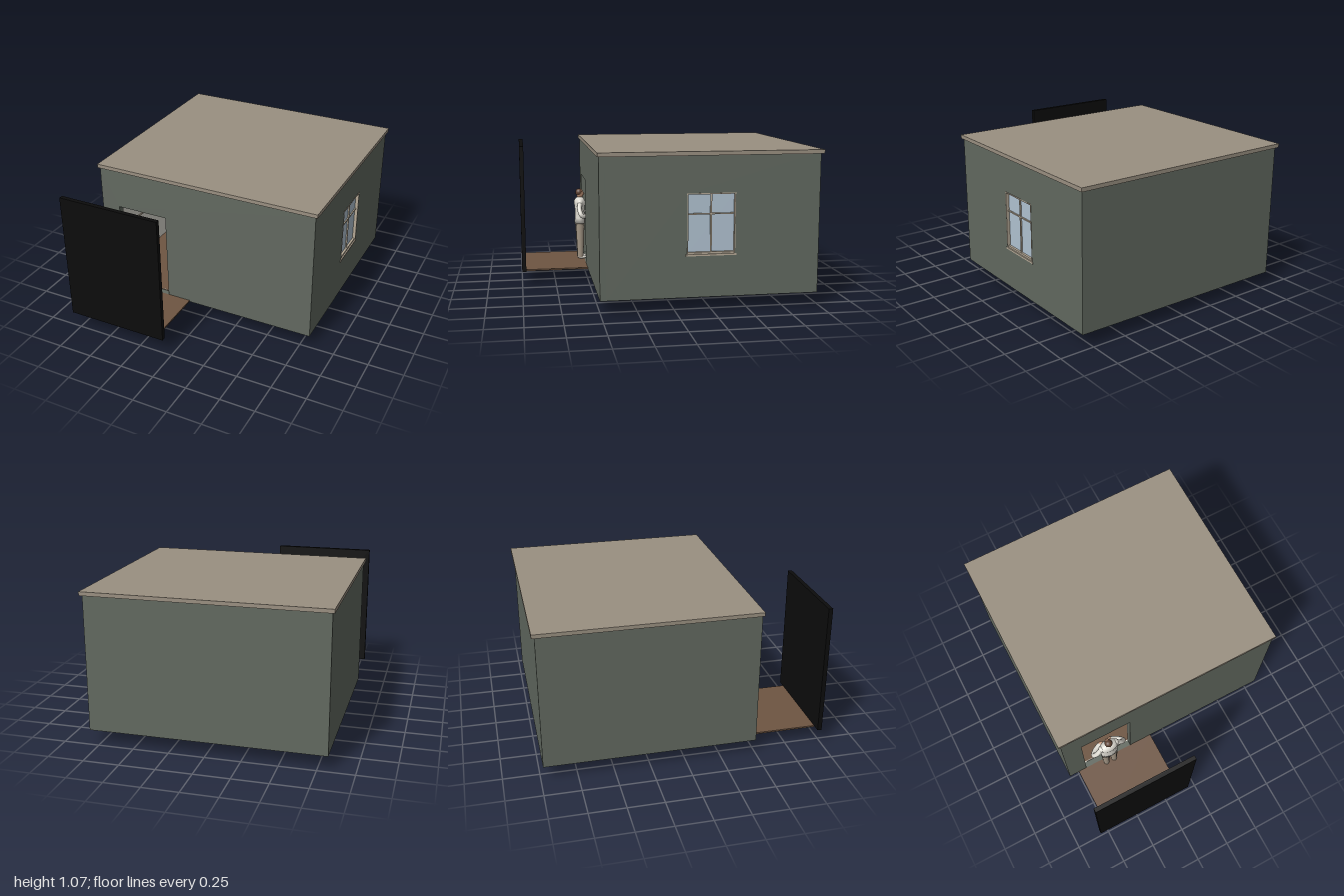
import * as THREE from 'three';

const mat = (name, color, side = THREE.FrontSide) => {
  const m = new THREE.MeshStandardMaterial({ color, side });
  m.name = name;
  return m;
};

export function createModel() {
  const green = mat('wallGreen', 0x626960);
  const stone = mat('roofTaupe', 0x9a9081);
  const black = mat('black', 0x0c0c0c);
  const wood = mat('wood', 0x6e5542);
  const glass = mat('glassBlue', 0xb1c3d2);
  const white = mat('offWhite', 0xdedbd2);
  const trim = mat('windowTrim', 0xb5a996);
  const cloth = mat('trouserTaupe', 0xa39685);
  const hairMat = mat('hairBrown', 0x5d4030);
  const skin = mat('skin', 0xc79a7d);

  const model = new THREE.Group();
  const add = (name, geo, m, parent = model) => {
    const mesh = new THREE.Mesh(geo, m);
    mesh.name = name;
    parent.add(mesh);
    return mesh;
  };
  // Box given by its extents on each axis
  const box = (name, m, x0, x1, y0, y1, z0, z1, parent = model) => {
    const mesh = add(name, new THREE.BoxGeometry(x1 - x0, y1 - y0, z1 - z0), m, parent);
    mesh.position.set((x0 + x1) / 2, (y0 + y1) / 2, (z0 + z1) / 2);
    return mesh;
  };
  // Upright slab with a rectangular opening
  const rect = (T, x0, x1, y0, y1) => {
    const s = new T();
    s.moveTo(x0, y0).lineTo(x1, y0).lineTo(x1, y1).lineTo(x0, y1).closePath();
    return s;
  };
  const slab = (outer, opening, depth) => {
    const s = rect(THREE.Shape, ...outer);
    s.holes.push(rect(THREE.Path, ...opening));
    return new THREE.ExtrudeGeometry(s, { depth, bevelEnabled: false });
  };

  // Walls, with a doorway in front and a window on the left side
  const Y0 = 0.097, Y1 = 1.045, T = 0.04;
  const door = [-0.68, -0.3, 0.108, 0.76];
  const win = [0.075, 0.4, 0.385, 0.795];
  add('frontWall', slab([-0.82, 0.82, Y0, Y1], door, T), green).position.z = 0.465;
  const sideWall = add('windowWall', slab([-0.465, 0.94, Y0, Y1], win, T), green);
  sideWall.rotation.y = Math.PI / 2;
  sideWall.position.x = 0.78;
  box('plainSideWall', green, -0.82, -0.78, Y0, Y1, -0.94, 0.465);
  box('backWall', green, -0.82, 0.82, Y0, Y1, -0.98, -0.94);

  // Pale inner lining and ceiling
  add('frontLining', slab([-0.78, 0.78, 0.11, Y1], [door[0], door[1], 0.112, door[3]], 0.006), white).position.z = 0.459;
  const sideLining = add('windowLining', slab([-0.459, 0.934, 0.11, Y1], win, 0.006), white);
  sideLining.rotation.y = Math.PI / 2;
  sideLining.position.x = 0.774;
  box('sideLining', white, -0.78, -0.774, 0.11, Y1, -0.94, 0.459);
  box('backLining', white, -0.774, 0.774, 0.11, Y1, -0.94, -0.934);
  box('ceiling', white, -0.774, 0.774, 1.035, Y1, -0.934, 0.459);
  box('skirtingRail', trim, -0.774, -0.768, 0.46, 0.475, -0.934, 0.459);

  // Flat roof with a small overhang
  box('roof', stone, -0.835, 0.835, Y1, 1.072, -1, 0.515);

  // Floor boards, their underside showing below the house
  const boards = 24, pitch = 1.405 / boards;
  box('subfloor', wood, -0.78, 0.78, 0.106, 0.112, -0.94, 0.465);
  for (let i = 0; i < boards; i++) {
    const z = -0.94 + i * pitch;
    box('floorBoard', wood, -0.78, 0.78, 0.1, 0.107, z, z + pitch - 0.008);
  }

  // Porch deck and the black screen in front of it
  box('porchDeck', wood, -0.745, -0.125, 0.097, 0.108, 0.505, 0.97);
  box('screenPanel', black, -0.81, -0.065, 0.106, 1.042, 0.97, 1);

  // Box under the floor, held by wooden posts on both sides
  box('underfloorBox', black, -0.405, 0.03, 0, 0.102, -0.345, -0.13);
  for (const x of [-0.345, -0.19, -0.035])
    for (const z of [-0.122, -0.353])
      box('boxPost', wood, x - 0.009, x + 0.009, 0.042, 0.105, z - 0.009, z + 0.009);

  // Window: recessed panes, frame, glazing bars and sill
  const windowGroup = new THREE.Group();
  windowGroup.name = 'window';
  model.add(windowGroup);
  const w = (name, m, x0, x1, y0, y1, z0, z1) => box(name, m, x0, x1, y0, y1, z0, z1, windowGroup);
  w('windowPane', glass, 0.793, 0.799, 0.385, 0.795, -0.4, -0.075);
  for (const z of [-0.4, -0.081]) w('frameSide', trim, 0.785, 0.822, 0.385, 0.795, z, z + 0.006);
  w('frameTop', trim, 0.785, 0.822, 0.789, 0.797, -0.405, -0.07);
  w('frameBottom', trim, 0.785, 0.815, 0.39, 0.403, -0.4, -0.075);
  w('windowSill', trim, 0.785, 0.824, 0.378, 0.39, -0.41, -0.065);
  w('verticalBar', trim, 0.788, 0.808, 0.39, 0.79, -0.243, -0.232);
  w('crossBar', trim, 0.788, 0.808, 0.653, 0.662, -0.4, -0.075);

  // Standing figure in the doorway, facing into the house
  const figure = new THREE.Group();
  figure.name = 'figure';
  figure.position.set(-0.49, 0.108, 0.535);
  model.add(figure);
  const ball = (name, m, rx, ry, rz, x, y, z) => {
    const b = add(name, new THREE.SphereGeometry(1, 20, 14), m, figure);
    b.scale.set(rx, ry, rz);
    b.position.set(x, y, z);
    return b;
  };
  const turned = (name, m, pts, depth) => {
    const g = new THREE.LatheGeometry(pts.map(p => new THREE.Vector2(...p)), 24);
    const mesh = add(name, g, m, figure);
    mesh.scale.z = depth;
    return mesh;
  };
  turned('jacket', white, [[0, 0.285], [0.068, 0.287], [0.066, 0.33], [0.06, 0.38],
    [0.072, 0.44], [0.07, 0.465], [0.05, 0.485], [0.02, 0.495], [0, 0.496]], 0.6);
  turned('hips', cloth, [[0, 0.245], [0.045, 0.25], [0.062, 0.28], [0.06, 0.31], [0, 0.31]], 0.62);
  turned('neck', skin, [[0.018, 0.475], [0.017, 0.515]], 1);
  ball('head', skin, 0.025, 0.037, 0.028, 0, 0.52, -0.004);
  ball('nose', skin, 0.005, 0.007, 0.008, 0, 0.517, -0.031);
  ball('hair', hairMat, 0.029, 0.03, 0.029, 0, 0.53, 0.003);
  for (const s of [-1, 1]) {
    const leg = add('trouserLeg', new THREE.CylinderGeometry(0.034, 0.023, 0.26, 18), cloth, figure);
    leg.position.set(s * 0.032, 0.145, 0);
    ball('shoe', white, 0.018, 0.014, 0.037, s * 0.034, 0.013, -0.012);
    // Bent arm with the elbow held out and the hand in front
    const path = new THREE.CatmullRomCurve3([[0.058, 0.455, 0], [0.095, 0.41, 0.008],
      [0.122, 0.36, -0.008], [0.09, 0.352, -0.04], [0.045, 0.36, -0.06]]
      .map(p => new THREE.Vector3(s * p[0], p[1], p[2])));
    add('sleeve', new THREE.TubeGeometry(path, 20, 0.018, 10), white, figure);
    ball('shoulder', white, 0.024, 0.024, 0.024, s * 0.056, 0.455, 0);
    ball('hand', skin, 0.02, 0.013, 0.014, s * 0.035, 0.362, -0.063);
  }
  return model;
}
